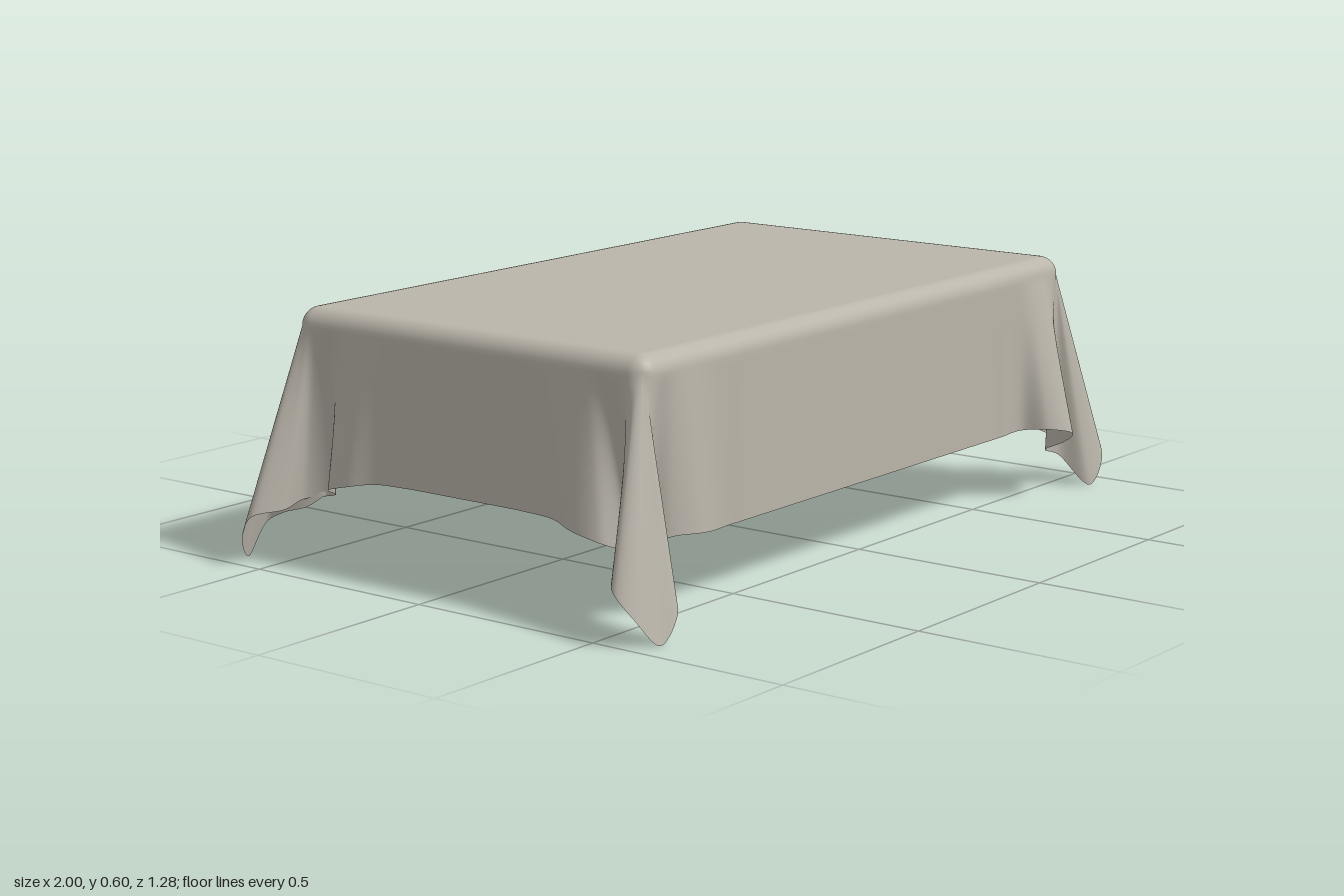
import * as THREE from 'three';

const TOP = 0.6, R = 0.045;                 // table height, edge rounding
const HALF_X = 0.86, FRONT_Z = 0.53, BACK_Z = -0.505;
const SIDE_HEM = 0.215, LONG_HEM = 0.175;
const SPREAD = 0.36;                        // length of edge gathered into a corner
const CORNER_STEPS = 150, STRAIGHT_STEPS = 20, ARC_ROWS = 7, DROP_ROWS = 26;

// Hem of one corner, from the short side round to the long side:
// [outward from short side, outward from long side, height]
const deepFold = [
  [0, -.36, .215], [.004, -.27, .213], [.025, -.2, .2], [.02, -.14, .19], [-.03, -.08, .16],
  [0, -.03, .13], [.07, -.055, .11], [.135, 0, .145], [.12, .06, .07], [.05, .065, 0],
  [0, 0, .08], [-.05, -.01, .1], [-.06, .05, .13], [-.11, .105, .17], [-.17, .07, .185],
  [-.2, .01, .18], [-.28, 0, .175], [-.36, 0, .175],
];
const roundFold = [
  [0, -.36, .215], [.008, -.25, .212], [.03, -.18, .2], [.015, -.11, .18], [-.05, -.07, .15],
  [-.01, -.01, .14], [.07, -.02, .13], [.135, .02, .12], [.12, .07, .06], [.07, .1, 0],
  [.01, .1, .07], [0, .05, .1], [-.02, -.01, .12], [-.05, -.05, .16], [-.09, 0, .19],
  [-.16, .03, .19], [-.22, .02, .182], [-.29, 0, .175], [-.36, 0, .175],
];

// The same fold turned to lean the other way round the corner
function swapFold(fold) {
  const out = fold.map(([a, b, y]) => [b * (b > 0 ? 0.75 : 1), a, y]).reverse();
  const n = out.length;
  out[0][2] = out[1][2] = SIDE_HEM;
  out[n - 1][2] = out[n - 2][2] = LONG_HEM;
  return out;
}

// Columns of cloth for one corner: where each leaves the top, meets the edge and ends at the hem
function cornerColumns(fold, sx, sz) {
  const curve = new THREE.CatmullRomCurve3(fold.map(([a, b, y]) => new THREE.Vector3(a, y, b)));
  const place = (a, b, y) =>
    new THREE.Vector3(sx * (HALF_X + a), y, sz > 0 ? FRONT_Z + b : BACK_Z - b);
  const columns = [];
  for (let i = 0; i <= CORNER_STEPS; i++) {
    const t = i / CORNER_STEPS, s = 2 * t - 1;
    const p = SPREAD * s * Math.abs(s);
    const a = Math.min(0, -p), b = Math.min(0, p);
    const ia = Math.min(a, -R), ib = Math.min(b, -R);
    const len = Math.hypot(a - ia, b - ib);
    const h = curve.getPoint(t);
    columns.push({
      inner: place(ia, ib, TOP),
      edge: place(ia + (a - ia) / len * R, ib + (b - ib) / len * R, TOP - R),
      hem: place(h.x, h.z, h.y),
    });
  }
  // Keep the walk going the same way round on mirrored corners
  return sx * sz > 0 ? columns : columns.reverse();
}

function clothGeometry() {
  const corners = [
    cornerColumns(deepFold, 1, 1),
    cornerColumns(roundFold, -1, 1),
    cornerColumns(roundFold, -1, -1),
    cornerColumns(swapFold(deepFold), 1, -1),
  ];

  // Join the corners with straight runs
  const columns = [];
  corners.forEach((corner, k) => {
    columns.push(...corner);
    const from = corner[corner.length - 1], to = corners[(k + 1) % 4][0];
    for (let i = 1; i < STRAIGHT_STEPS; i++) {
      const mix = (key) => from[key].clone().lerp(to[key], i / STRAIGHT_STEPS);
      columns.push({ inner: mix('inner'), edge: mix('edge'), hem: mix('hem') });
    }
  });

  const n = columns.length, rows = ARC_ROWS + DROP_ROWS;
  const positions = [], index = [];
  for (let r = 0; r <= rows; r++) {
    for (const { inner, edge, hem } of columns) {
      if (r <= ARC_ROWS) {
        // Rounded table edge
        const angle = (r / ARC_ROWS) * Math.PI / 2, f = Math.sin(angle);
        positions.push(inner.x + (edge.x - inner.x) * f,
          TOP - R + R * Math.cos(angle),
          inner.z + (edge.z - inner.z) * f);
      } else {
        // Hanging cloth, folds opening toward the hem
        const p = edge.clone().lerp(hem, (r - ARC_ROWS) / DROP_ROWS);
        positions.push(p.x, p.y, p.z);
      }
    }
  }
  for (let r = 0; r < rows; r++) {
    for (let i = 0; i < n; i++) {
      const j = (i + 1) % n, a = r * n + i, b = r * n + j;
      index.push(a, b, a + n, b, b + n, a + n);
    }
  }

  // Flat top
  const centre = positions.length / 3;
  positions.push(0, TOP, (FRONT_Z + BACK_Z) / 2);
  for (let i = 0; i < n; i++) index.push(centre, (i + 1) % n, i);

  const geometry = new THREE.BufferGeometry();
  geometry.setAttribute('position', new THREE.Float32BufferAttribute(positions, 3));
  geometry.setIndex(index);
  geometry.computeVertexNormals();
  // The first ring lies in the flat top
  const normals = geometry.attributes.normal;
  for (let i = 0; i < n; i++) normals.setXYZ(i, 0, 1, 0);
  return geometry;
}

export function createModel() {
  const linen = new THREE.MeshStandardMaterial({ color: 0xbab5aa, side: THREE.DoubleSide });
  linen.name = 'linen';
  const cloth = new THREE.Mesh(clothGeometry(), linen);
  cloth.name = 'tablecloth';
  const group = new THREE.Group();
  group.name = 'drapedTablecloth';
  group.add(cloth);
  return group;
}
